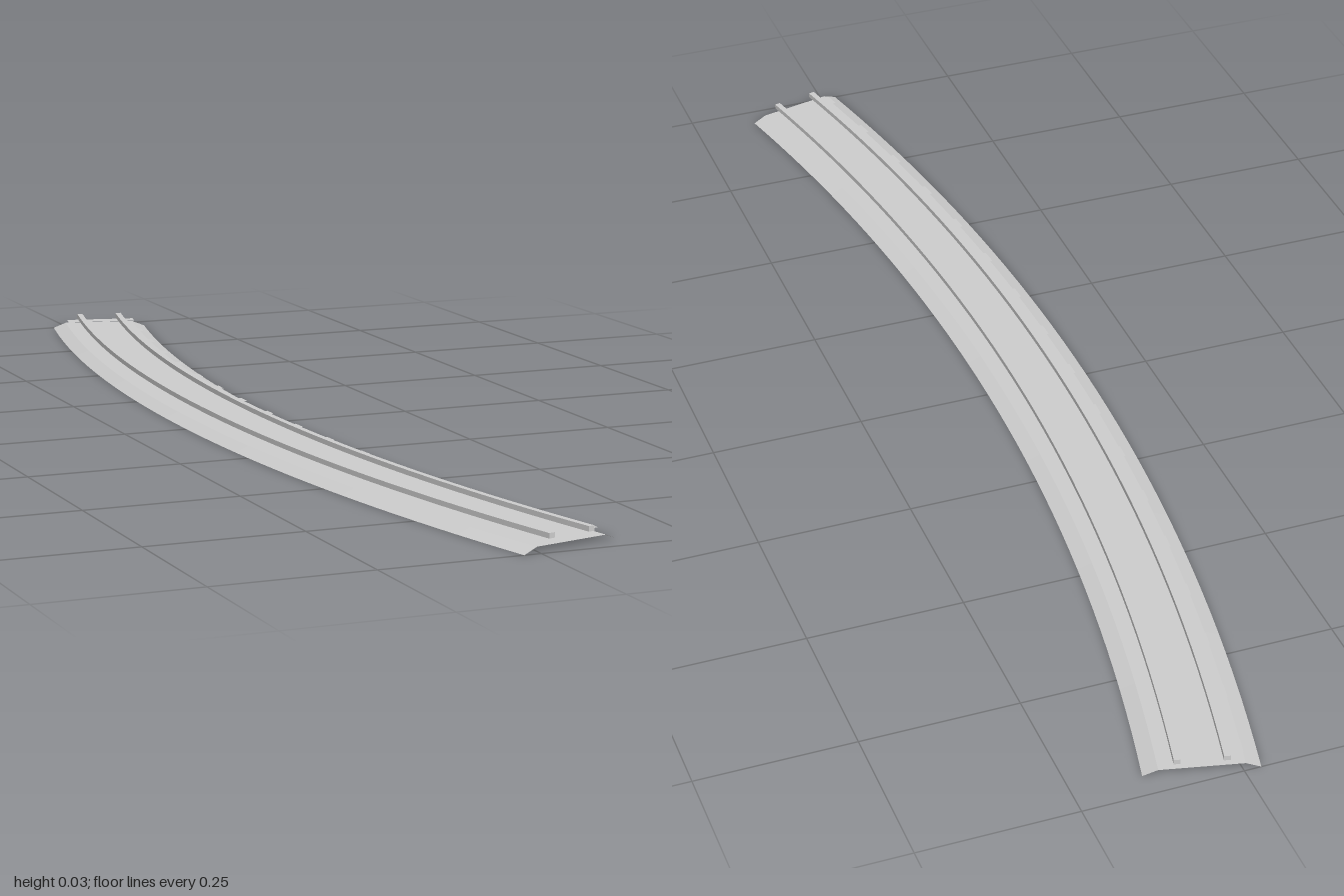
import * as THREE from 'three';

const RADIUS = 4.35;            // outer edge of the gravel bed
const CENTRE_X = RADIUS - 0.143; // centre of the bend
const HALF_ANGLE = Math.asin(1 / RADIUS);
const BED_WIDTH = 0.173;
const SEGMENTS = 40;

// Point on the bend: inset from the outer edge, height, angle
function bendPoint(inset, y, angle) {
  const r = RADIUS - inset;
  return [CENTRE_X - r * Math.cos(angle), y, r * Math.sin(angle)];
}

// Sweep a cross-section of [inset, y] points along the bend
function sweep(profile, from, to, segments, closed) {
  const n = profile.length;
  const positions = [];
  const at = (i, j) => {
    const [inset, y] = profile[j % n];
    return bendPoint(inset, y, from + ((to - from) * i) / segments);
  };
  for (let i = 0; i < segments; i++) {
    for (let j = 0; j < (closed ? n : n - 1); j++) {
      const a = at(i, j), b = at(i, j + 1), c = at(i + 1, j), d = at(i + 1, j + 1);
      positions.push(...a, ...c, ...b, ...b, ...c, ...d);
    }
  }
  // End caps of closed sections
  if (closed) {
    for (let j = 1; j < n - 1; j++) {
      positions.push(...at(0, 0), ...at(0, j), ...at(0, j + 1));
      positions.push(...at(segments, 0), ...at(segments, j + 1), ...at(segments, j));
    }
  }
  const geometry = new THREE.BufferGeometry();
  geometry.setAttribute('position', new THREE.Float32BufferAttribute(positions, 3));
  geometry.computeVertexNormals();
  return geometry;
}

export function createModel() {
  const grey = new THREE.MeshStandardMaterial({ color: 0xcccccc, side: THREE.DoubleSide });
  grey.name = 'light grey';
  const model = new THREE.Group();
  model.name = 'curvedRailwayTrack';
  const add = (name, geometry, parent = model) => {
    const mesh = new THREE.Mesh(geometry, grey);
    mesh.name = name;
    parent.add(mesh);
  };

  // Gravel bed: open shell with sloping shoulders
  const shoulder = 0.023, bedTop = 0.009;
  add('gravelBed', sweep(
    [[0, 0], [shoulder, bedTop], [BED_WIDTH - shoulder, bedTop], [BED_WIDTH, 0]],
    -HALF_ANGLE, HALF_ANGLE, SEGMENTS, false));

  // Two rails, mirrored about the middle of the bed
  const railInset = 0.045, railWidth = 0.01, railBottom = 0.0175, railTop = 0.0255;
  const railStarts = { outerRail: railInset, innerRail: BED_WIDTH - railInset - railWidth };
  for (const [name, start] of Object.entries(railStarts)) {
    const end = start + railWidth;
    add(name, sweep(
      [[start, railBottom], [start, railTop], [end, railTop], [end, railBottom]],
      -HALF_ANGLE, HALF_ANGLE, SEGMENTS, true));
  }

  // Flat sleepers just under the rails
  const sleepers = new THREE.Group();
  sleepers.name = 'sleepers';
  model.add(sleepers);
  const count = 17, halfSleeper = 0.014 / RADIUS;
  const reach = HALF_ANGLE - 0.03 / RADIUS;
  for (let i = 0; i < count; i++) {
    const angle = reach * ((2 * i) / (count - 1) - 1);
    add('sleeper', sweep(
      [[0.024, 0.017], [BED_WIDTH - 0.024, 0.017]],
      angle - halfSleeper, angle + halfSleeper, 1, false), sleepers);
  }
  return model;
}
